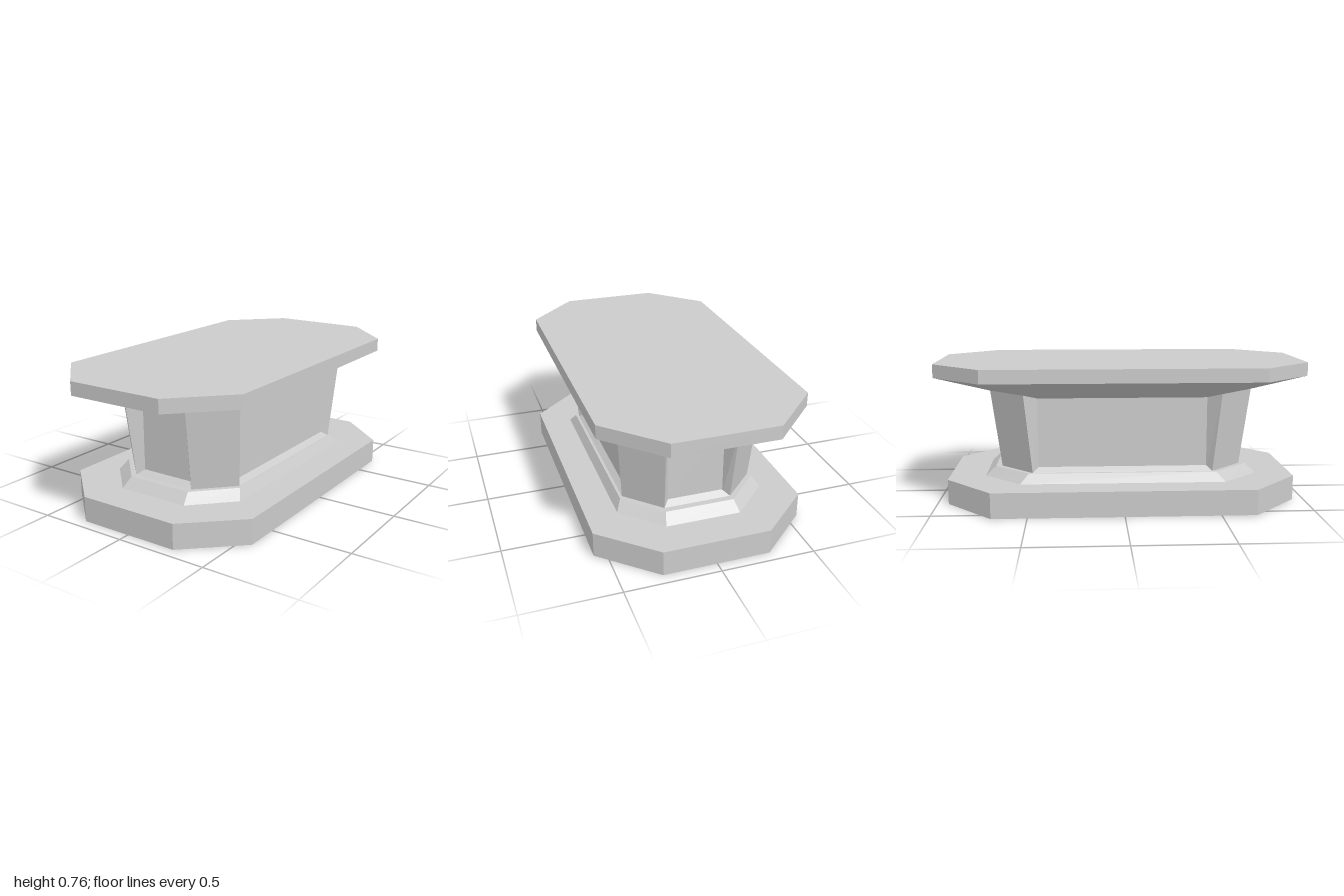
import * as THREE from 'three';

const material = new THREE.MeshStandardMaterial({ color: 0xcccccc, flatShading: true });

// Solid through rings { y, pts: [[x, z], ...] }, counterclockwise seen from above, bottom to top
function loft(name, rings) {
  const pos = [];
  const n = rings[0].pts.length;
  const put = (ring, i) => pos.push(ring.pts[i % n][0], ring.y, ring.pts[i % n][1]);
  for (let r = 0; r < rings.length - 1; r++) {
    const a = rings[r], b = rings[r + 1];
    for (let i = 0; i < n; i++) {
      put(a, i); put(a, i + 1); put(b, i + 1);
      put(a, i); put(b, i + 1); put(b, i);
    }
  }
  const bottom = rings[0], top = rings[rings.length - 1];
  for (let i = 1; i < n - 1; i++) {
    put(bottom, 0); put(bottom, i + 1); put(bottom, i);
    put(top, 0); put(top, i); put(top, i + 1);
  }
  const geometry = new THREE.BufferGeometry();
  geometry.setAttribute('position', new THREE.Float32BufferAttribute(pos, 3));
  geometry.computeVertexNormals();
  const mesh = new THREE.Mesh(geometry, material);
  mesh.name = name;
  return mesh;
}

// Chamfered rectangle: half width x, half depth z, corners at (fx, z) and (x, sz)
function octagon(y, x, z, fx, sz) {
  return {
    y,
    pts: [[fx, z], [x, sz], [x, -sz], [fx, -z], [-fx, -z], [-x, -sz], [-x, sz], [-fx, z]],
  };
}

export function createModel() {
  const group = new THREE.Group();
  group.name = 'pedestal';

  // Heavy foot slab
  group.add(loft('base', [
    octagon(0, 0.565, 0.94, 0.283, 0.685),
    octagon(0.135, 0.565, 0.94, 0.283, 0.685),
  ]));

  // Bevelled step with a small slope up to the recessed panels
  group.add(loft('plinth', [
    octagon(0.135, 0.4, 0.745, 0.2, 0.545),
    octagon(0.185, 0.37, 0.69, 0.185, 0.5),
    octagon(0.185, 0.355, 0.655, 0.18, 0.48),
    octagon(0.21, 0.325, 0.62, 0.15, 0.45),
  ]));

  // Recessed panels
  group.add(loft('core', [
    octagon(0.21, 0.325, 0.62, 0.15, 0.45),
    octagon(0.58, 0.325, 0.62, 0.15, 0.45),
  ]));

  // Flared underside and table top
  group.add(loft('top', [
    octagon(0.58, 0.325, 0.62, 0.15, 0.45),
    octagon(0.605, 0.385, 0.71, 0.193, 0.52),
    octagon(0.685, 0.54, 1, 0.27, 0.727),
    octagon(0.757, 0.54, 1, 0.27, 0.727),
  ]));

  // Leaning pilasters on the four chamfered corners
  const foot = [[0.18, 0.655], [0.355, 0.48], [0.325, 0.45], [0.15, 0.62]];
  const head = [[0.193, 0.71], [0.385, 0.52], [0.325, 0.45], [0.15, 0.62]];
  for (const sx of [1, -1]) {
    for (const sz of [1, -1]) {
      const place = (pts) => {
        const out = pts.map(([x, z]) => [x * sx, z * sz]);
        return sx * sz < 0 ? out.reverse() : out;
      };
      const name = (sz > 0 ? 'front' : 'back') + (sx > 0 ? 'Left' : 'Right') + 'Pilaster';
      group.add(loft(name, [
        { y: 0.185, pts: place(foot) },
        { y: 0.605, pts: place(head) },
      ]));
    }
  }

  return group;
}
